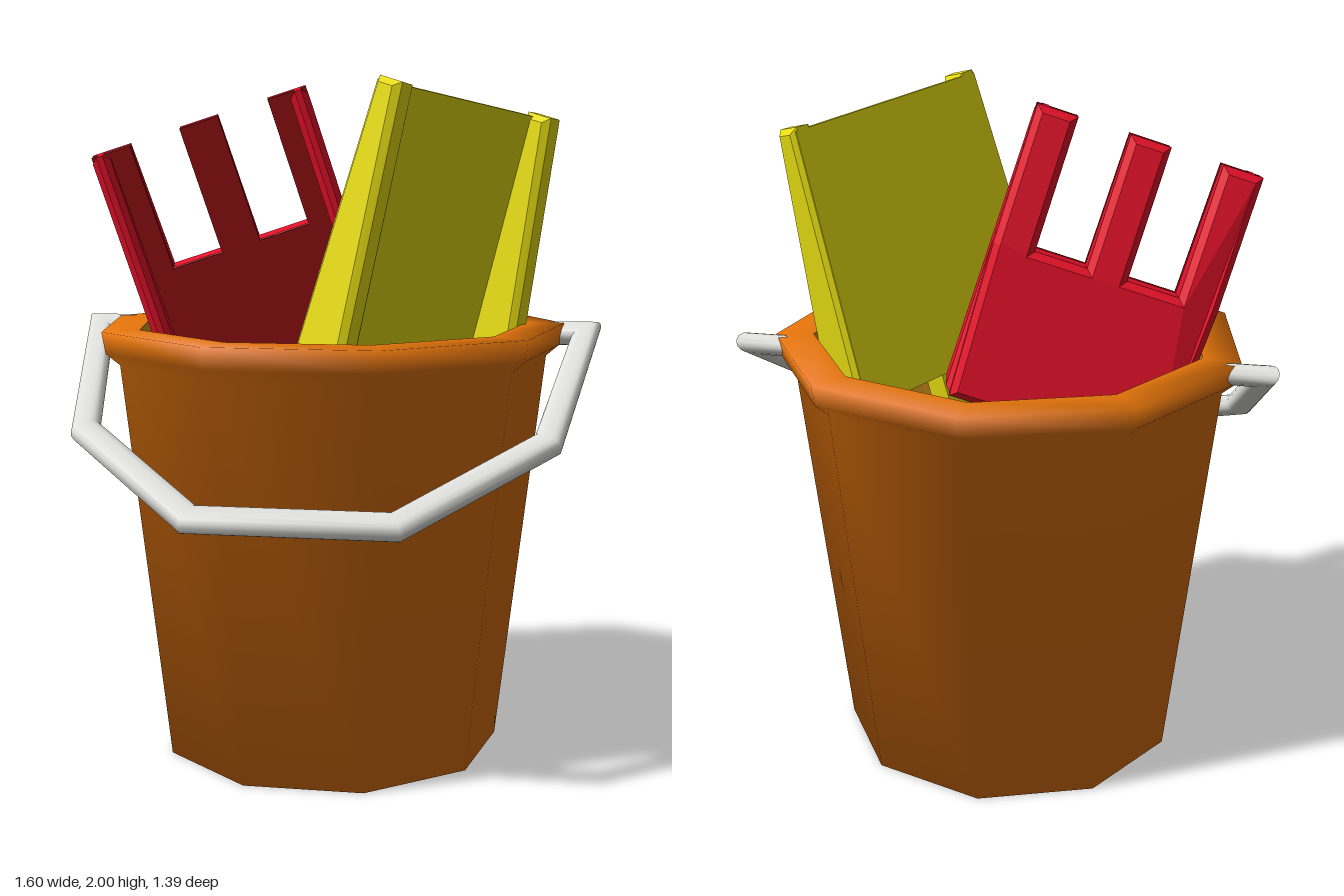
import * as THREE from 'three';
import { toCreasedNormals } from 'three/addons/utils/BufferGeometryUtils.js';

const paint = (name, color) => {
  const m = new THREE.MeshStandardMaterial({ color });
  m.name = name;
  return m;
};
const V2 = (a) => a.map(([x, y]) => new THREE.Vector2(x, y));

// Bevelled plate from an outline, centred on z = 0
function slab(points, depth, bevel, { hole, segments = 1 } = {}) {
  const shape = new THREE.Shape(V2(points));
  if (hole) shape.holes.push(new THREE.Path(V2(hole)));
  const g = new THREE.ExtrudeGeometry(shape, {
    depth: depth - 2 * bevel, bevelEnabled: bevel > 0, bevelSize: bevel,
    bevelThickness: bevel, bevelOffset: -bevel, bevelSegments: segments,
  });
  return g.translate(0, 0, -(depth - 2 * bevel) / 2);
}

export function createModel() {
  const orange = paint('orange plastic', 0xe4740a);
  const inner = paint('golden inside', 0xd0931a);
  const yellow = paint('yellow plastic', 0xe6dc10);
  const red = paint('red plastic', 0xe41028);
  const darkRed = paint('dark red face', 0x9e1114);
  const white = paint('pale grey plastic', 0xe0e0dd);
  const model = new THREE.Group();

  const add = (parent, name, geometry, material) => {
    const mesh = new THREE.Mesh(geometry, material);
    mesh.name = name;
    parent.add(mesh);
    return mesh;
  };

  // Nine-sided bucket with a corner at the back, softly shaded over its edges
  const bucket = new THREE.Group();
  bucket.name = 'bucket';
  bucket.position.z = 0.006;
  model.add(bucket);
  const ring = (name, pts, mat) => add(bucket, name,
    toCreasedNormals(new THREE.LatheGeometry(V2(pts), 9, Math.PI), Math.PI), mat);
  ring('bucketShell', [[0, 0], [0.51, 0], [0.648, 1.185], [0.69, 1.22],
    [0.701, 1.283], [0.588, 1.285]], orange);
  ring('bucketInside', [[0.588, 1.285], [0.48, 0.04], [0, 0.04]], inner);

  // Rounded carrying handle, hanging forward at a slope
  const half = [[0.64, -0.02], [0.80, -0.02], [0.705, 0.57], [0.30, 0.955]];
  const halfIn = [[0.265, 0.87], [0.628, 0.525], [0.71, 0.055], [0.64, 0.055]];
  const flip = (a) => a.map(([x, y]) => [-x, y]).reverse();
  const loop = slab([...half, ...flip(half), ...flip(halfIn), ...halfIn], 0.06, 0.027, { segments: 3 });
  const carry = add(model, 'carryingHandle', toCreasedNormals(loop, 0.9), white);
  carry.rotation.x = THREE.MathUtils.degToRad(119.3);
  carry.position.set(0, 1.26, -0.14);

  // Tool frame: x across, y towards the tip, z out of the hollow side; origin at the tip
  function toolFrame(name, origin, across, up) {
    const x = new THREE.Vector3(...across).normalize();
    const z = x.clone().cross(new THREE.Vector3(...up)).normalize();
    const y = z.clone().cross(x);
    const g = new THREE.Group();
    g.name = name;
    g.quaternion.setFromRotationMatrix(new THREE.Matrix4().makeBasis(x, y, z));
    g.position.set(...origin);
    model.add(g);
    return g;
  }

  // Raised side edge, deeper towards the shaft
  function sideEdge(tool, name, side, x, profile, width, splay, mat) {
    const g = slab(profile, width, 0.018).rotateY(-Math.PI / 2);
    const m = add(tool, name, g, mat);
    m.position.x = side * x;
    m.rotation.z = side * splay;
  }

  // Shaft and looped grip shared by both tools
  function shaftAndGrip(tool, z, depth, mat) {
    add(tool, 'shaft', new THREE.BoxGeometry(0.11, 0.82, 0.09), mat)
      .position.set(0, -1.24, z - 0.03);
    const grip = add(tool, 'grip', slab(
      [[-0.21, -1.86], [0.21, -1.86], [0.19, -1.68], [0.06, -1.5], [-0.06, -1.5], [-0.19, -1.68]],
      depth, 0.02,
      { hole: [[-0.13, -1.79], [-0.12, -1.7], [-0.03, -1.59], [0.03, -1.59], [0.12, -1.7], [0.13, -1.79]] }), mat);
    grip.position.z = z;
  }

  // Shovel
  const shovel = toolFrame('shovel', [0.40, 1.95, 0.15], [0.6, -0.14, -0.785], [0.28, 1, 0.036]);
  add(shovel, 'shovelBlade',
    slab([[-0.335, -0.01], [-0.37, -0.82], [0.37, -0.82], [0.335, -0.01]], 0.03, 0), yellow)
    .position.z = 0.015;
  for (const s of [-1, 1])
    sideEdge(shovel, s < 0 ? 'shovelRightEdge' : 'shovelLeftEdge', s, 0.31,
      [[0, 0], [0, -0.84], [0.2, -0.84], [0.09, 0]], 0.075, 0.045, yellow);
  add(shovel, 'shovelHeel', new THREE.BoxGeometry(0.72, 0.07, 0.19), yellow)
    .position.set(0, -0.81, 0.095);
  shaftAndGrip(shovel, 0.12, 0.15, yellow);

  // Rake: comb plate with three tines, thickening down its back
  const rake = toolFrame('rake', [-0.395, 1.88, 0.03], [0.6, 0.2, -0.11], [-0.3, 1, 0.18]);
  const outline = [[-0.32, -0.86], [0.32, -0.86], [0.335, -0.4]];
  for (const x of [0.275, 0, -0.275])
    outline.push([x + 0.06, -0.39], [x + 0.06, 0], [x - 0.06, 0], [x - 0.06, -0.39]);
  outline.push([-0.335, -0.4]);
  const comb = slab(outline, 0.08, 0.02).translate(0, 0, -0.02);
  const p = comb.attributes.position;
  for (let i = 0; i < p.count; i++)
    if (p.getZ(i) < -0.02) p.setZ(i, p.getZ(i) + 0.1 * Math.max(p.getY(i), -0.45));
  comb.computeVertexNormals();
  add(rake, 'rakeComb', comb, red);

  // Dark front face of the comb
  add(rake, 'rakeFrontFace', slab(outline, 0.008, 0), darkRed).position.z = 0.022;

  for (const s of [-1, 1])
    sideEdge(rake, s < 0 ? 'rakeRightEdge' : 'rakeLeftEdge', s, 0.308,
      [[-0.03, 0], [-0.06, -0.86], [0.13, -0.86], [0.09, -0.4], [0.06, 0]], 0.055, 0, red);
  add(rake, 'rakeHeel', new THREE.BoxGeometry(0.62, 0.07, 0.18), red)
    .position.set(0, -0.83, 0.035);
  shaftAndGrip(rake, 0.16, 0.09, red);

  return model;
}
